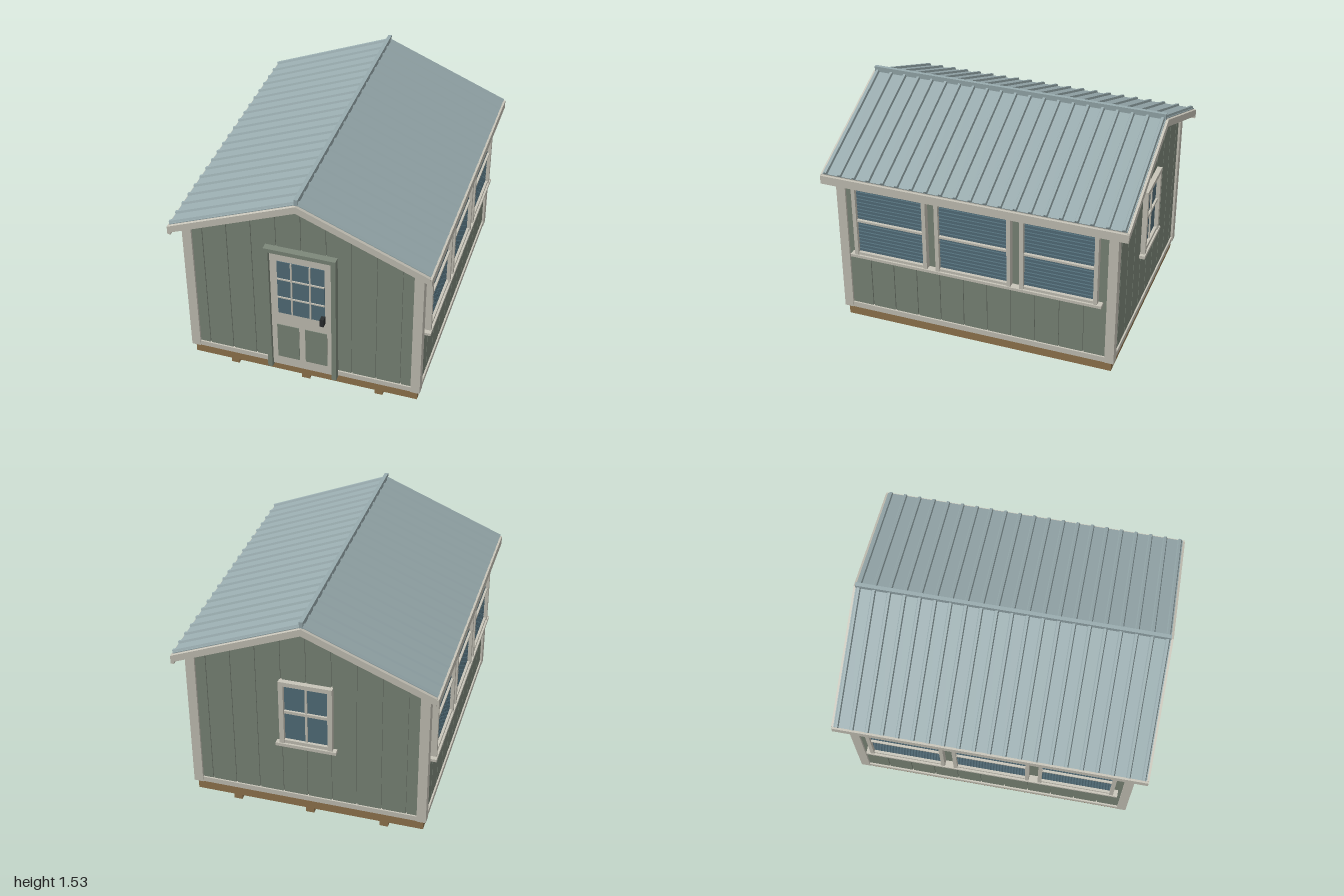
import * as THREE from 'three';

const mat = (name, color) => Object.assign(new THREE.MeshStandardMaterial({ color }), { name });

export function createModel() {
  const sage = mat('sage siding', 0x7d887a);
  const cream = mat('cream trim', 0xc8c5b9);
  const steel = mat('blue grey roof', 0x98abae);
  const wood = mat('brown timber', 0x94774f);
  const glass = mat('blue glass', 0x54707c);
  const black = mat('black metal', 0x2a2d2f);
  const block = mat('grey block', 0x75837d);

  const model = new THREE.Group();
  model.name = 'gardenShed';
  const slope = 0.41;

  function add(parent, name, geo, material) {
    const m = new THREE.Mesh(geo, material);
    m.name = name;
    parent.add(m);
    return m;
  }
  // Box given by its limits on each axis
  function box(parent, name, material, x0, x1, y0, y1, z0, z1) {
    const m = add(parent, name, new THREE.BoxGeometry(x1 - x0, y1 - y0, z1 - z0), material);
    m.position.set((x0 + x1) / 2, (y0 + y1) / 2, (z0 + z1) / 2);
    return m;
  }
  // Outline in x and y, extruded between two z positions
  function slab(parent, name, material, pts, z0, z1) {
    const shape = new THREE.Shape(pts.map(p => new THREE.Vector2(...p)));
    const geo = new THREE.ExtrudeGeometry(shape, { depth: z1 - z0, bevelEnabled: false });
    return add(parent, name, geo.translate(0, 0, z0), material);
  }
  function group(parent, name) {
    const g = new THREE.Group();
    g.name = name;
    parent.add(g);
    return g;
  }

  // Base: floor, three skids and nine blocks
  const base = group(model, 'base');
  box(base, 'floorFrame', wood, -0.75, 0.75, 0.065, 0.137, -0.905, 0.905);
  for (const x of [-0.49, 0, 0.49]) {
    box(base, 'skid', wood, x - 0.027, x + 0.027, 0.008, 0.066, -0.88, 0.88);
    for (const z of [-0.735, 0, 0.74])
      box(base, 'supportBlock', block, x - 0.07, x + 0.07, 0, 0.04, z - 0.082, z + 0.082);
  }

  // Wall core with gables
  const walls = group(model, 'walls');
  const top = x => 1.48 - slope * Math.abs(x);
  slab(walls, 'wallCore', sage,
    [[-0.745, 0.137], [0.745, 0.137], [0.745, top(0.745)], [0, top(0)], [-0.745, top(0.745)]], -0.9, 0.9);

  // Gable siding boards separated by narrow grooves
  const gap = 0.004, pitch = 0.16;
  for (const [z0, z1] of [[0.899, 0.91], [-0.91, -0.899]])
    for (let i = -5; i < 5; i++) {
      const a = Math.max(i * pitch + gap, -0.745), b = Math.min((i + 1) * pitch - gap, 0.745);
      slab(walls, 'gableBoard', sage, [[a, 0.14], [b, 0.14], [b, top(b)], [a, top(a)]], z0, z1);
    }
  // Side siding boards
  for (const s of [-1, 1])
    for (let i = 0; i < 11; i++) {
      const z = -0.88 + i * pitch;
      box(walls, 'sideBoard', sage, s * 0.75 - 0.006, s * 0.75 + 0.006, 0.14, 1.14, z + gap, z + pitch - gap);
    }

  // Corner posts and bottom boards
  const trim = group(model, 'trim');
  for (const s of [-1, 1]) {
    for (const t of [-1, 1])
      box(trim, 'cornerTrim', cream, s * 0.74 - 0.03, s * 0.74 + 0.03, 0.137, 1.15, t * 0.895 - 0.03, t * 0.895 + 0.03);
    box(trim, 'sideBaseTrim', cream, s * 0.757 - 0.01, s * 0.757 + 0.01, 0.137, 0.175, -0.87, 0.87);
    box(trim, 'frontBaseTrim', cream, s * 0.47 - 0.25, s * 0.47 + 0.25, 0.137, 0.173, 0.9, 0.92);
  }
  box(trim, 'backBaseTrim', cream, -0.72, 0.72, 0.137, 0.173, -0.92, -0.9);

  // Door
  const door = group(model, 'door');
  box(door, 'doorSlab', cream, -0.2, 0.2, 0.137, 1.07, 0.9, 0.93);
  for (const s of [-1, 1]) {
    box(door, 'doorJamb', sage, s * 0.215 - 0.015, s * 0.215 + 0.015, 0.122, 1.07, 0.9, 0.955);
    box(door, 'doorPanel', sage, s * 0.0925 - 0.0725, s * 0.0925 + 0.0725, 0.21, 0.482, 0.927, 0.934);
    box(door, 'doorMuntin', cream, s * 0.06 - 0.005, s * 0.06 + 0.005, 0.585, 1, 0.93, 0.941);
  }
  box(door, 'doorHead', sage, -0.23, 0.23, 1.07, 1.098, 0.9, 0.955);
  box(door, 'doorGlass', glass, -0.153, 0.153, 0.585, 1, 0.927, 0.934);
  for (const y of [0.717, 0.864]) box(door, 'doorMuntin', cream, -0.153, 0.153, y - 0.005, y + 0.005, 0.93, 0.941);
  box(door, 'doorHandle', black, 0.13, 0.155, 0.573, 0.63, 0.93, 0.97);

  // Side window drawn facing +z, two sashes with louvres
  function sideWindow(parent, x) {
    const g = group(parent, 'sideWindow');
    g.position.x = x;
    for (const s of [-1, 1]) box(g, 'windowStile', cream, s * 0.238 - 0.0125, s * 0.238 + 0.0125, 0.58, 1.1, 0.74, 0.797);
    box(g, 'windowHead', cream, -0.226, 0.226, 1.078, 1.1, 0.74, 0.797);
    box(g, 'windowBottomRail', cream, -0.226, 0.226, 0.58, 0.602, 0.74, 0.79);
    box(g, 'meetingRail', cream, -0.226, 0.226, 0.83, 0.844, 0.74, 0.788);
    box(g, 'windowPane', glass, -0.226, 0.226, 0.6, 1.08, 0.745, 0.764);
    for (const y0 of [0.602, 0.844])
      for (let i = 0; i < 9; i++) {
        const y = y0 + 0.004 + i * 0.0255;
        box(g, 'louvre', glass, -0.226, 0.226, y, y + 0.018, 0.764, 0.774);
      }
  }
  for (const s of [-1, 1]) {
    const side = group(model, s > 0 ? 'leftWindows' : 'rightWindows');
    side.rotation.y = s * Math.PI / 2;
    for (const x of [-0.56, 0, 0.56]) sideWindow(side, x);
    box(side, 'windowSill', cream, -0.84, 0.84, 0.565, 0.584, 0.745, 0.803);
  }

  // Back window
  const back = group(model, 'backWindow');
  back.rotation.y = Math.PI;
  for (const s of [-1, 1]) box(back, 'windowStile', cream, s * 0.155 - 0.015, s * 0.155 + 0.015, 0.585, 1.05, 0.9, 0.942);
  box(back, 'windowHead', cream, -0.14, 0.14, 1.02, 1.05, 0.9, 0.942);
  box(back, 'windowBottomRail', cream, -0.14, 0.14, 0.585, 0.61, 0.9, 0.935);
  box(back, 'windowSill', cream, -0.195, 0.195, 0.565, 0.587, 0.9, 0.948);
  box(back, 'windowPane', glass, -0.14, 0.14, 0.61, 1.02, 0.9, 0.916);
  box(back, 'muntin', cream, -0.007, 0.007, 0.61, 1.02, 0.9, 0.926);
  box(back, 'meetingRail', cream, -0.14, 0.14, 0.81, 0.83, 0.9, 0.93);

  // Roof deck, barge boards and fascias
  const roof = group(model, 'roof');
  const chevron = (hi, lo, x) => [[-x, lo - slope * x], [0, lo], [x, lo - slope * x],
    [x, hi - slope * x], [0, hi], [-x, hi - slope * x]];
  slab(roof, 'roofDeck', cream, chevron(1.495, 1.465, 0.815), -0.98, 0.98);
  for (const z of [-1, 0.978]) slab(roof, 'bargeBoard', cream, chevron(1.493, 1.445, 0.82), z, z + 0.022);
  for (const s of [-1, 1]) box(roof, 'fascia', cream, s * 0.821 - 0.011, s * 0.821 + 0.011, 1.095, 1.152, -0.998, 0.998);

  // Ribbed metal sheets: a ribbed cross-section run down each slope
  const profile = [[-0.985, 0]];
  for (let i = 0; i < 21; i++) {
    const z = (i - 10) * 0.0965;
    profile.push([z - 0.014, 0.005], [z - 0.008, 0.018], [z + 0.008, 0.018], [z + 0.014, 0.005]);
  }
  profile.splice(1, 0, [-0.985, 0.005]);
  profile.push([0.985, 0.005], [0.985, 0]);
  const c = 1 / Math.hypot(1, slope), sn = slope * c;
  for (const s of [-1, 1]) {
    const sheet = slab(roof, 'roofSheet', steel, profile, 0, 0.82 / c);
    sheet.applyMatrix4(new THREE.Matrix4().makeBasis(
      new THREE.Vector3(0, 0, -s), new THREE.Vector3(s * sn, c, 0), new THREE.Vector3(s * c, -sn, 0)
    ).setPosition(0, 1.497, 0));
  }
  box(roof, 'ridgeCap', steel, -0.012, 0.012, 1.475, 1.533, -0.985, 0.985);
  return model;
}
